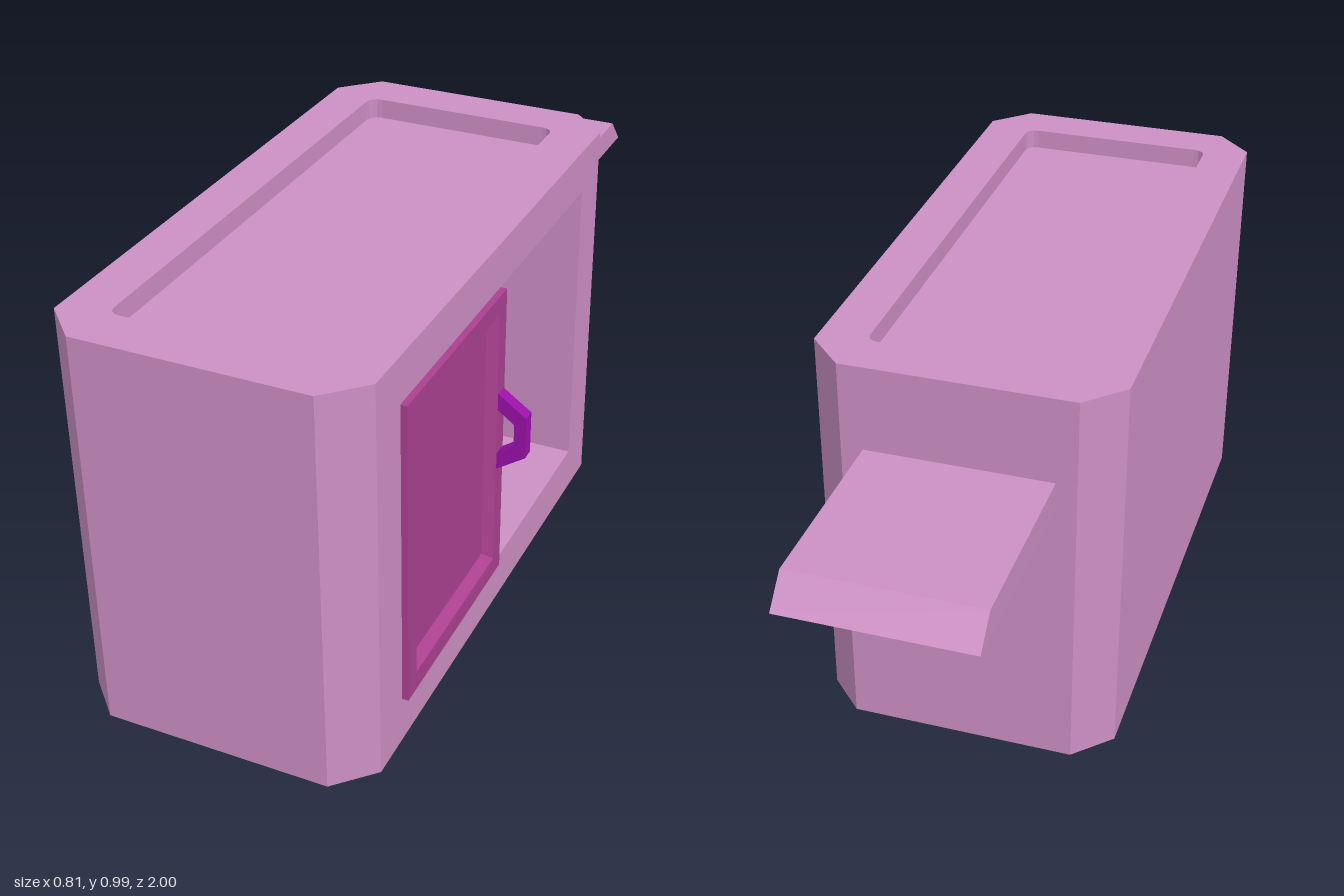
import * as THREE from 'three';

const paint = (color) => new THREE.MeshStandardMaterial({ color, flatShading: true });

// Shape from [x, z] points, drawn so that an upward extrusion keeps z.
const planShape = (points) => new THREE.Shape(points.map(([x, z]) => new THREE.Vector2(x, -z)));

function addMesh(parent, name, geometry, material) {
  const mesh = new THREE.Mesh(geometry, material);
  mesh.name = name;
  parent.add(mesh);
  return mesh;
}

// Extrudes a plan shape from height y0 to y1.
function layer(shape, y0, y1) {
  const g = new THREE.ExtrudeGeometry(shape, { depth: y1 - y0, bevelEnabled: false, curveSegments: 4 });
  return g.rotateX(-Math.PI / 2).translate(0, y0, 0);
}

function roundedHole(x0, x1, y0, y1, r) {
  const p = new THREE.Path();
  p.moveTo(x0 + r, y0);
  p.lineTo(x1 - r, y0).quadraticCurveTo(x1, y0, x1, y0 + r);
  p.lineTo(x1, y1 - r).quadraticCurveTo(x1, y1, x1 - r, y1);
  p.lineTo(x0 + r, y1).quadraticCurveTo(x0, y1, x0, y1 - r);
  p.lineTo(x0, y0 + r).quadraticCurveTo(x0, y0, x0 + r, y0);
  return p;
}

// Joins rectangular rings [x, z0, z1, y0, y1] into a closed panel facing +x.
function ringPanel(rings) {
  const corners = rings.map(([x, z0, z1, y0, y1]) => [[x, y0, z1], [x, y0, z0], [x, y1, z0], [x, y1, z1]]);
  const pos = [];
  const quad = (a, b, c, d) => pos.push(...a, ...b, ...c, ...a, ...c, ...d);
  for (let r = 0; r < corners.length - 1; r++) {
    for (let i = 0; i < 4; i++) {
      const j = (i + 1) % 4;
      quad(corners[r][i], corners[r][j], corners[r + 1][j], corners[r + 1][i]);
    }
  }
  const back = corners[0];
  quad(back[3], back[2], back[1], back[0]);
  quad(...corners[corners.length - 1]);
  const g = new THREE.BufferGeometry();
  g.setAttribute('position', new THREE.Float32BufferAttribute(pos, 3));
  g.computeVertexNormals();
  return g;
}

export function createModel() {
  const model = new THREE.Group();
  model.name = 'cabinet';
  const pink = paint(0xcc8fc4);
  const magenta = paint(0xab4090);
  const purple = paint(0x9a10a8);

  // Chamfered footprint, starting and ending on the +x side
  const X0 = -0.405, X1 = 0.318, Z0 = -0.475, Z1 = 1, c = 0.087;
  const outline = [
    [X1, Z0 + c], [X1 - c, Z0], [X0 + c, Z0], [X0, Z0 + c],
    [X0, Z1 - c], [X0 + c, Z1], [X1 - c, Z1], [X1, Z1 - c],
  ];
  // Cupboard opening cut into the +x side
  const openBack = -0.27, openFront = 0.8, openDepth = -0.24, floorY = 0.115, ceilingY = 0.88;
  const notch = [[X1, openFront], [openDepth, openFront], [openDepth, openBack], [X1, openBack]];

  const body = new THREE.Group();
  body.name = 'body';
  model.add(body);
  addMesh(body, 'base', layer(planShape(outline), 0, floorY), pink);
  addMesh(body, 'walls', layer(planShape([...outline, ...notch]), floorY, ceilingY), pink);
  addMesh(body, 'topSlab', layer(planShape(outline), ceilingY, 0.94), pink);

  // Raised rim around the sunken top
  const rim = planShape(outline);
  rim.holes.push(roundedHole(-0.295, 0.205, -0.885, 0.36, 0.03));
  addMesh(body, 'topRim', layer(rim, 0.94, 0.99), pink);

  // Rear shelf with a slanted end: profile in (-z, y), extruded along x
  const shelfProfile = new THREE.Shape([[0.475, 0.71], [1, 0.71], [0.937, 0.777], [0.475, 0.777]]
    .map(([a, b]) => new THREE.Vector2(a, b)));
  const shelf = new THREE.ExtrudeGeometry(shelfProfile, { depth: 0.447, bevelEnabled: false });
  shelf.rotateY(Math.PI / 2).translate(-0.269, 0, 0);
  addMesh(model, 'rearShelf', shelf, pink);

  // Sliding door with a bevelled, sunken panel
  const door = new THREE.Group();
  door.name = 'door';
  model.add(door);
  addMesh(door, 'doorPanel', ringPanel([
    [0.303, 0.267, 0.801, 0.118, 0.879],
    [0.333, 0.267, 0.801, 0.118, 0.879],
    [0.333, 0.309, 0.757, 0.165, 0.833],
    [0.309, 0.326, 0.74, 0.184, 0.816],
  ]), magenta);

  // Angular pull handle
  const handle = new THREE.Shape([
    [0.333, 0.422], [0.403, 0.47], [0.403, 0.577], [0.333, 0.626],
    [0.333, 0.583], [0.374, 0.553], [0.374, 0.494], [0.333, 0.465],
  ].map(([x, y]) => new THREE.Vector2(x, y)));
  const handleGeo = new THREE.ExtrudeGeometry(handle, { depth: 0.032, bevelEnabled: false });
  addMesh(door, 'doorHandle', handleGeo.translate(0, 0, 0.273), purple);

  return model;
}
